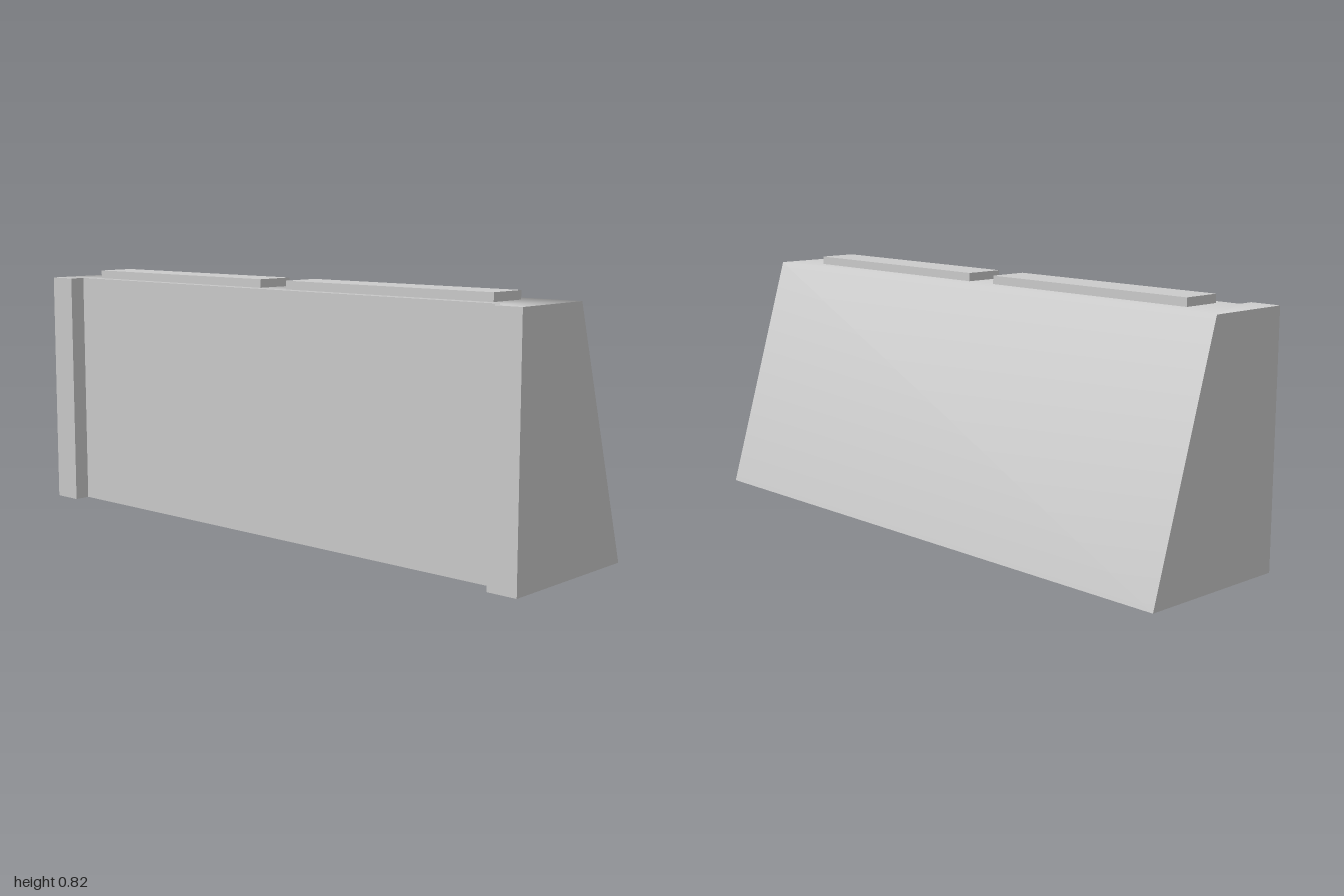
import * as THREE from 'three';

const HEIGHT = 0.79, BACK = -0.263, RECESS = -0.21, RIDGE = 0.026, TOE = 0.263;

// C-shaped footprint raised to a block, its front edge leaning back at the top
function wallGeometry() {
  const outline = [
    [BACK, -1], [TOE, -1], [TOE, 1], [BACK, 1],
    [BACK, 0.9], [RECESS, 0.9], [RECESS, -0.9], [BACK, -0.9],
  ].map(([x, z]) => new THREE.Vector2(x, z));
  const geo = new THREE.ExtrudeGeometry(new THREE.Shape(outline), { depth: HEIGHT, bevelEnabled: false });
  geo.rotateX(-Math.PI / 2);

  const pos = geo.attributes.position;
  const onRidge = (i) => pos.getY(i) > HEIGHT / 2 && pos.getX(i) > 0;
  for (let i = 0; i < pos.count; i++) if (onRidge(i)) pos.setX(i, RIDGE);
  geo.computeVertexNormals();

  // Soft shading across the ridge between top and slope; end faces stay flat
  const soft = new THREE.Vector3(0.87, 0.49, 0).normalize();
  const normal = geo.attributes.normal;
  for (let i = 0; i < pos.count; i++) {
    if (onRidge(i) && Math.abs(normal.getZ(i)) < 0.5) normal.setXYZ(i, soft.x, soft.y, soft.z);
  }
  return geo;
}

export function createModel() {
  const group = new THREE.Group();
  group.name = 'slopedBarrier';
  const material = new THREE.MeshStandardMaterial({ color: 0xcccccc });

  const wall = new THREE.Mesh(wallGeometry(), material);
  wall.name = 'wall';
  group.add(wall);

  // Two flat pads along the top
  const padGeometry = new THREE.BoxGeometry(0.132, 0.027, 0.787);
  for (const side of [1, -1]) {
    const pad = new THREE.Mesh(padGeometry, material);
    pad.name = side > 0 ? 'frontTopPad' : 'backTopPad';
    pad.position.set(-0.107, HEIGHT + 0.0135, side * 0.449);
    group.add(pad);
  }
  return group;
}
